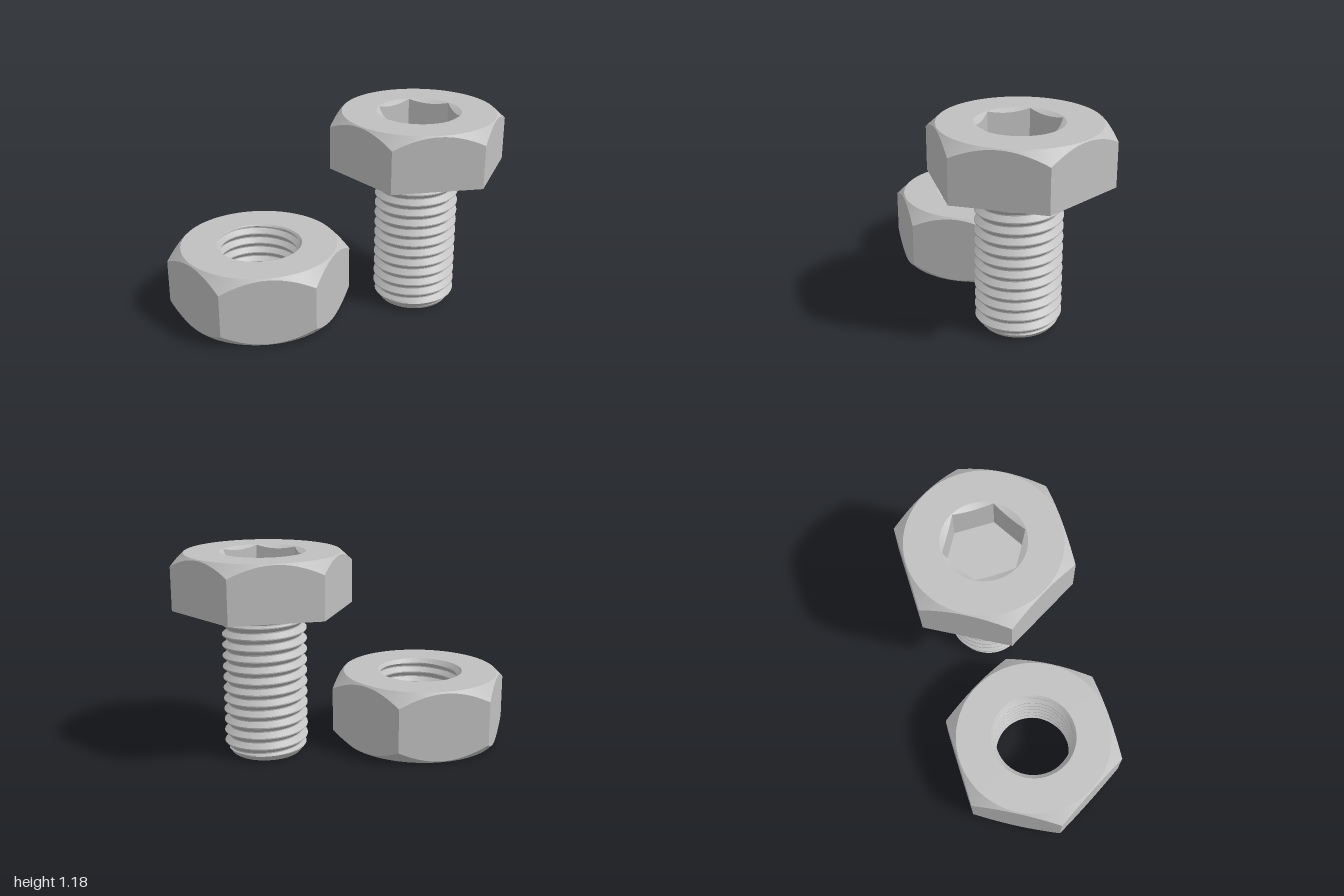
import * as THREE from 'three';
import { toCreasedNormals } from 'three/addons/utils/BufferGeometryUtils.js';

const SEGMENTS = 96; // divisible by 12 so hexagon corners land on a step
const PITCH = 0.064;
const STEPS = 10; // axial samples per thread turn

// Radius of a hexagon at an angle; a corner lies at angle = -shift
function hexRadius(angle, apothem, shift = 0) {
  const sector = Math.PI / 3;
  const a = (((angle + shift + 1e-9) % sector) + sector) % sector;
  return apothem / Math.cos(a - sector / 2);
}

// Skin a list of rings; each ring maps an angle to [radius, y]
function loft(name, rings, material) {
  const positions = [];
  const point = (ring, j) => {
    const angle = (j / SEGMENTS) * Math.PI * 2;
    const [r, y] = ring(angle);
    return new THREE.Vector3(r * Math.cos(angle), y, -r * Math.sin(angle));
  };
  const triangle = new THREE.Triangle();
  const add = (a, b, c) => {
    if (triangle.set(a, b, c).getArea() < 1e-9) return;
    for (const p of [a, b, c]) positions.push(p.x, p.y, p.z);
  };
  for (let i = 0; i < rings.length - 1; i++) {
    for (let j = 0; j < SEGMENTS; j++) {
      const a = point(rings[i], j), b = point(rings[i], j + 1);
      const c = point(rings[i + 1], j + 1), d = point(rings[i + 1], j);
      add(a, b, c);
      add(a, c, d);
    }
  }
  const geometry = new THREE.BufferGeometry();
  geometry.setAttribute('position', new THREE.Float32BufferAttribute(positions, 3));
  const mesh = new THREE.Mesh(toCreasedNormals(geometry, 0.35), material);
  mesh.name = name;
  return mesh;
}

const circle = (r, y) => () => [r, y];
const hexagon = (apothem, y, shift = 0) => (a) => [hexRadius(a, apothem, shift), y];

// Hexagon whose edge follows a cone starting at a circle of the given radius
const coneCut = (apothem, radius, y, slope, shift = 0) => (a) => {
  const r = hexRadius(a, apothem, shift);
  return [r, y - (r - radius) * slope];
};

// Helical rings from y = 0 to height; limit() trims the thread at its ends
function threadRings(height, root, crest, limit) {
  const rings = [];
  const turns = Math.ceil(height / PITCH) + 1;
  for (let i = 0; i <= turns * STEPS; i++) {
    const t = (i % STEPS) / STEPS;
    // narrow flat crest, sloping flank, narrow flat root, sloping flank
    let k = 1;
    if (t > 0.1 && t < 0.5) k = 1 - (t - 0.1) / 0.4;
    else if (t >= 0.5 && t <= 0.6) k = 0;
    else if (t > 0.6) k = (t - 0.6) / 0.4;
    const r = root + (crest - root) * k;
    rings.push((a) => {
      const raw = (i / STEPS + a / (Math.PI * 2) - 1) * PITCH;
      const y = THREE.MathUtils.clamp(raw, 0, height);
      return [limit(r, y), y];
    });
  }
  return rings;
}

function createBolt(material) {
  const bolt = new THREE.Group();
  bolt.name = 'bolt';
  const bottom = 0.86, top = 1.18, crest = 0.243, turn = Math.PI / 6;

  // Head with chamfered top and hexagonal socket
  bolt.add(loft('boltHead', [
    circle(0, bottom),
    hexagon(0.448, bottom),
    coneCut(0.448, 0.442, top, 0.93),
    circle(0.442, top),
    circle(0.243, top),
  ], material));
  bolt.add(loft('hexSocket', [
    circle(0.243, top),
    coneCut(0.207, 0.243, top, -0.5, turn),
    hexagon(0.207, top - 0.22, turn),
    circle(0, top - 0.22),
  ], material));

  // Threaded shank: conical tip below, plain neck under the head
  const limit = (r, y) => {
    const neck = THREE.MathUtils.smoothstep(y, 0.79, 0.82);
    return Math.min(r + (crest - r) * neck, 0.2 + y * 0.8);
  };
  bolt.add(loft('threadedShank', [
    circle(0, 0),
    ...threadRings(bottom, 0.214, crest, limit),
  ], material));
  return bolt;
}

function createNut(material) {
  const nut = new THREE.Group();
  nut.name = 'nut';
  const height = 0.42, mouth = 0.253;

  // Hexagonal body chamfered at both ends
  const upper = coneCut(0.468, 0.46, height, 1);
  const lower = coneCut(0.468, 0.46, 0, -1);
  nut.add(loft('nutBody', [
    circle(mouth, 0), circle(0.46, 0), lower,
    upper, circle(0.46, height), circle(mouth, height),
  ], material));

  // Internal thread, facing inwards, with a countersink at each mouth
  const limit = (r, y) => Math.max(r, mouth - Math.min(y, height - y) * 0.9);
  nut.add(loft('nutThread', threadRings(height, 0.226, 0.25, limit).reverse(), material));
  return nut;
}

export function createModel() {
  const steel = new THREE.MeshStandardMaterial({ color: 0xc0c0c0 });
  steel.name = 'steel grey';
  const model = new THREE.Group();
  model.name = 'boltAndNut';
  const bolt = createBolt(steel);
  bolt.position.x = 0.481;
  const nut = createNut(steel);
  nut.position.x = -0.46;
  model.add(bolt, nut);
  return model;
}
